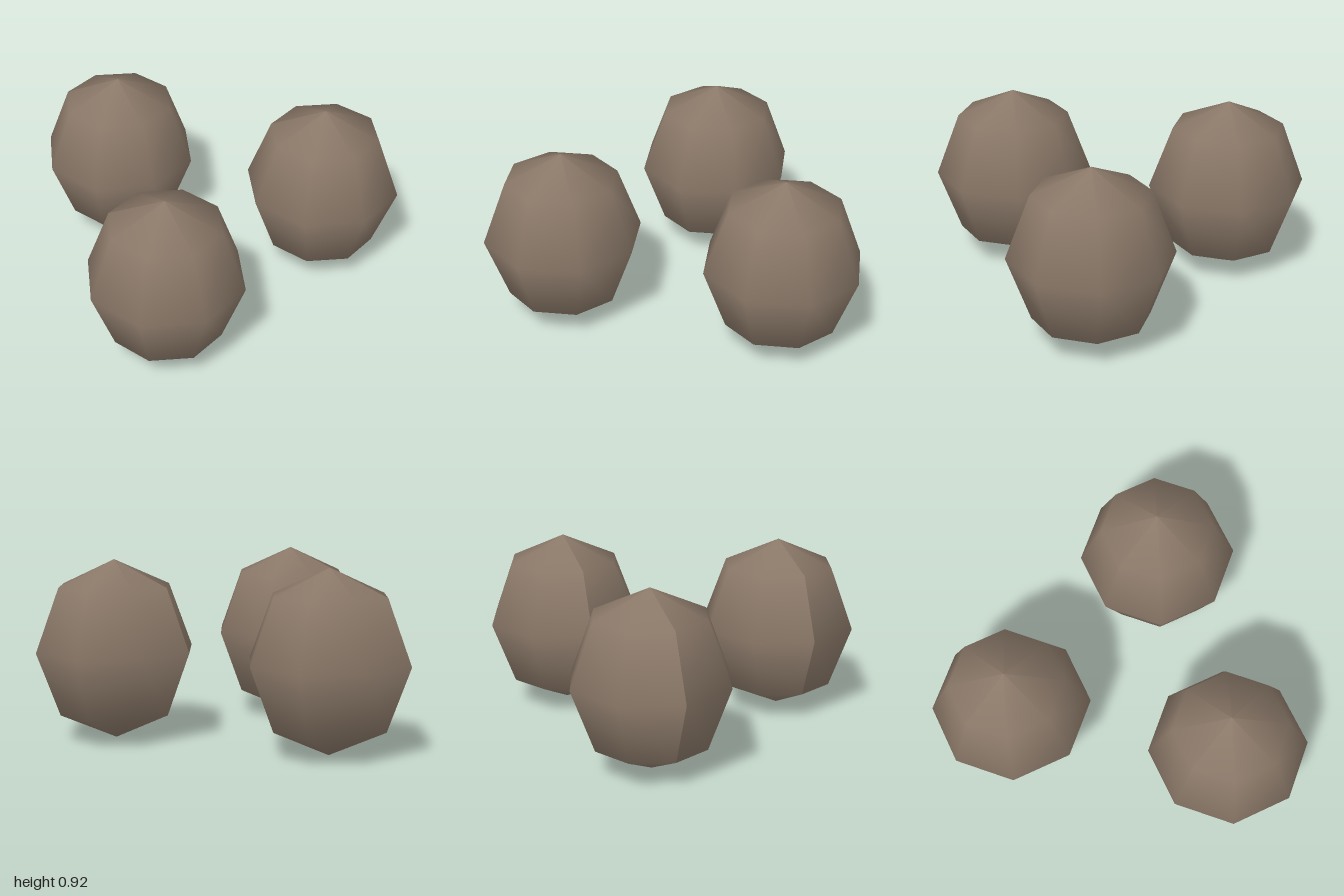
import * as THREE from 'three';

export function createModel() {
  const group = new THREE.Group();
  const stone = new THREE.MeshStandardMaterial({ color: 0x8a7868 });
  stone.name = 'stoneBrown';

  // Low-poly egg-shaped stone: eight sides, four bands, slightly taller than wide
  const radius = 0.418, halfHeight = 0.462;
  const geometry = new THREE.SphereGeometry(1, 8, 4);
  geometry.scale(radius, halfHeight, radius);
  geometry.computeVertexNormals(); // creases at the poles

  // Three stones set in a triangle
  const stones = [
    ['frontStone', 0.005, 0.505],
    ['backRightStone', -0.582, -0.498],
    ['backLeftStone', 0.58, -0.508],
  ];
  for (const [name, x, z] of stones) {
    const mesh = new THREE.Mesh(geometry, stone);
    mesh.name = name;
    mesh.position.set(x, halfHeight, z);
    group.add(mesh);
  }
  return group;
}
